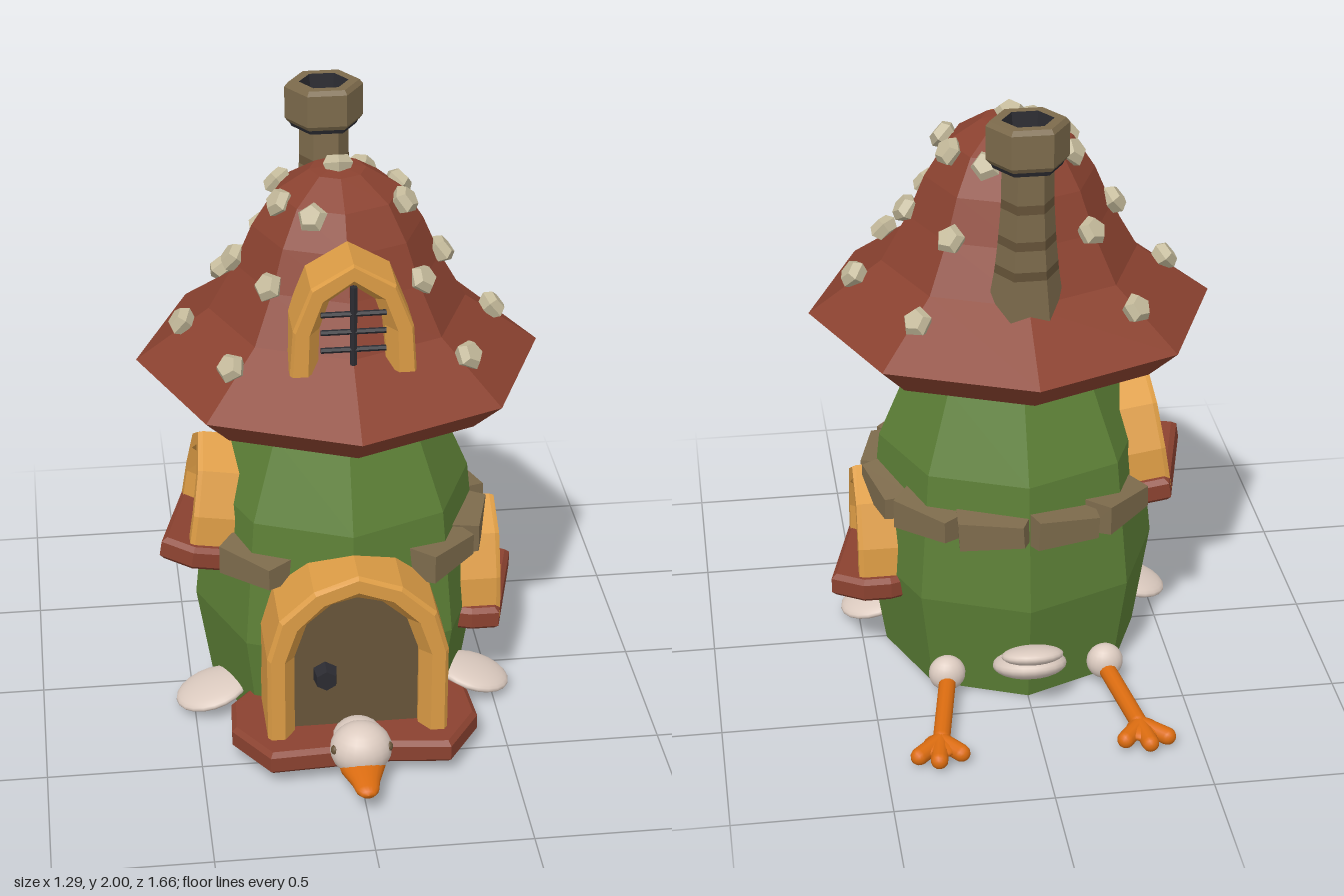
import * as THREE from 'three';

const mat = (name, color, flatShading = true, side = THREE.FrontSide) => {
  const m = new THREE.MeshStandardMaterial({ color, flatShading, side });
  m.name = name;
  return m;
};

// Grid of faces through rows of [x, y, z] points
function loft(rows) {
  const n = rows[0].length, index = [];
  for (let j = 0; j < rows.length - 1; j++) {
    for (let i = 0; i < n - 1; i++) {
      const a = j * n + i, b = a + 1, c = b + n, d = a + n;
      index.push(a, b, d, b, c, d);
    }
  }
  const g = new THREE.BufferGeometry();
  g.setAttribute('position', new THREE.Float32BufferAttribute(rows.flat(2), 3));
  g.setIndex(index);
  g.computeVertexNormals();
  return g;
}

const lathe = (pts, sides, start = 0) =>
  new THREE.LatheGeometry(pts.map(p => new THREE.Vector2(...p)), sides, start);

// Mirrors half an outline, listed from the +x base to the top, over to -x
const mirrored = half => [...half, ...half.slice(0, -1).reverse().map(([x, y]) => [-x, y])];
const shapeOf = pts => new THREE.Shape(pts.map(p => new THREE.Vector2(...p)));

export function createModel() {
  const model = new THREE.Group();
  const green = mat('green wall', 0x5c7f36);
  const red = mat('red roof', 0x8b4230);
  const wood = mat('yellow wood', 0xdc9c45, true, THREE.DoubleSide);
  const brown = mat('brown stone', 0x7d6b4c);
  const darkBrown = mat('dark brown', 0x675439);
  const iron = mat('dark iron', 0x2b2b31);
  const cream = mat('cream stone', 0xc3b99a);
  const grey = mat('grey underside', 0xb8b3a6);
  const white = mat('white feathers', 0xdccbc0, false);
  const orange = mat('orange skin', 0xdb6c10, false);

  const add = (name, geometry, material, parent = model, pos = [0, 0, 0]) => {
    const m = new THREE.Mesh(geometry, material);
    m.name = name;
    m.position.set(...pos);
    parent.add(m);
    return m;
  };
  const blob = (name, material, pos, size, rot = [0, 0, 0]) => {
    const m = add(name, new THREE.SphereGeometry(1, 20, 14), material, model, pos);
    m.scale.set(...size);
    m.rotation.set(...rot);
    return m;
  };
  const limb = (name, material, a, b, r) => {
    const p = new THREE.Vector3(...a), q = new THREE.Vector3(...b);
    const d = q.clone().sub(p);
    const m = add(name, new THREE.CapsuleGeometry(r, d.length(), 5, 12), material);
    m.position.copy(p).add(q).multiplyScalar(0.5);
    m.quaternion.setFromUnitVectors(new THREE.Vector3(0, 1, 0), d.normalize());
  };

  // Eight-sided wall, dark base and roof cap
  const oz = [0, 0, -0.01];
  add('wall', lathe([[0, 0.002], [0.42, 0.002], [0.475, 0.35], [0.43, 0.78], [0.32, 1.04], [0.28, 1.12]], 8), green, model, oz);
  add('base', new THREE.CircleGeometry(0.33, 12).rotateX(Math.PI / 2), iron, model, oz);
  add('roofUnderside', lathe([[0.26, 1.035], [0.32, 1.04], [0.54, 1.13]], 8), grey, model, oz);
  add('roof', lathe([[0.54, 1.13], [0.645, 1.23], [0.41, 1.4], [0.325, 1.55], [0.27, 1.68], [0.2, 1.79], [0.09, 1.86], [0, 1.87]], 8), red, model, oz);

  // Pebbles on the roof: x, y, z
  const up = new THREE.Vector3(0, 1, 0);
  const pebbles = [[0, 1.875, -0.01], [0.1, 1.78, -0.2], [-0.18, 1.78, -0.12], [-0.19, 1.78, 0.05],
    [0.2, 1.78, -0.07], [0.2, 1.78, 0.08], [-0.1, 1.78, 0.18], [-0.33, 1.57, -0.02], [0.33, 1.57, 0]];
  for (const s of [-1, 1]) {
    pebbles.push([s * 0.22, 1.57, -0.26], [s * 0.24, 1.57, 0.21], [s * 0.5, 1.36, -0.01],
      [s * 0.34, 1.36, -0.39], [s * 0.37, 1.36, 0.33]);
  }
  const pebbleShape = lathe([[0, -0.03], [0.035, -0.03], [0.05, 0], [0.034, 0.025], [0, 0.025]], 5);
  pebbles.forEach(([x, y, z], i) => {
    const m = add('pebble', pebbleShape, cream, model, [x, y, z]);
    const n = new THREE.Vector3(x, Math.max(0.02, Math.hypot(x, z) * 0.8), z).normalize();
    m.quaternion.setFromUnitVectors(up, n).multiply(new THREE.Quaternion().setFromAxisAngle(up, i * 1.3));
  });

  // Belt of rough stones, left open behind the door and the upper window
  for (let i = 0; i < 12; i++) {
    const deg = 15 + i * 30;
    if (deg === 15 || deg === 345 || deg === 255 || deg === 285) continue;
    const g = new THREE.BoxGeometry(0.23, 0.1, 0.09);
    const p = g.attributes.position;
    for (let k = 0; k < p.count; k++) {
      const x = p.getX(k), y = p.getY(k), z = p.getZ(k);
      p.setX(k, x * (z > 0 ? 0.9 : 1.05));
      p.setY(k, y * (x > 0 ? 0.85 : 1.15) * (z > 0 ? 0.85 : 1));
    }
    const a = THREE.MathUtils.degToRad(deg);
    const m = add('beltStone', g, brown, model, [Math.sin(a) * 0.435, 0.63, Math.cos(a) * 0.435 - 0.01]);
    m.rotation.set(0, a, (i % 3 - 1) * 0.06);
  }

  // Arched frame with a sloping inner reveal
  const arch = (name, outer, mid, inner, depth, parent) => {
    const row = (half, z) => mirrored(half).map(([x, y]) => [x, y, z]);
    return add(name, loft([row(outer, 0), row(outer, depth - 0.015), row(outer.map(([x, y]) => [x * 0.96, y * 0.985]), depth),
      row(mid, depth), row(inner, depth - 0.05), row(inner, 0)]), wood, parent);
  };
  const slab = (name, pts, y, parent) => {
    const g = new THREE.ExtrudeGeometry(shapeOf(pts), {
      depth: 0.05, bevelEnabled: true, bevelThickness: 0.015, bevelSize: 0.015, bevelOffset: -0.015, bevelSegments: 1,
    }).rotateX(Math.PI / 2);
    return add(name, g, red, parent, [0, y + 0.025, 0]);
  };

  // Windows with iron bars, some with a sill
  const makeWindow = (name, pos, barZ, depth, sill) => {
    const w = new THREE.Group();
    w.name = name;
    w.position.set(...pos);
    model.add(w);
    arch('windowFrame', [[0.195, 0], [0.185, 0.15], [0.13, 0.29], [0, 0.365]],
      [[0.14, 0], [0.135, 0.14], [0.095, 0.25], [0, 0.315]],
      [[0.105, 0], [0.1, 0.14], [0.07, 0.23], [0, 0.28]], depth, w);
    add('uprightBar', new THREE.CylinderGeometry(0.012, 0.012, 0.29, 6), iron, w, [0, 0.145, barZ]);
    for (const y of [0.08, 0.14, 0.2]) {
      add('crossBar', new THREE.CylinderGeometry(0.009, 0.009, 0.2, 6).rotateZ(Math.PI / 2), iron, w, [0, y, barZ]);
    }
    if (sill) slab('sill', mirrored([[0.2, 0], [0.22, 0.06], [0.22, 0.15], [0.16, 0.25]]), 0.01, w);
    return w;
  };
  makeWindow('roofWindow', [0, 1.36, 0.24], 0.165, 0.18, false);
  makeWindow('lowerWindow', [0.36, 0.3, 0], 0.13, 0.16, true).rotation.y = Math.PI / 2;
  makeWindow('upperWindow', [-0.35, 0.58, 0], 0.12, 0.16, true).rotation.set(0, -Math.PI / 2, -0.15, 'ZYX');

  // Door, frame, knob and porch
  const door = new THREE.Group();
  door.name = 'door';
  door.position.set(0, 0.1, 0.32);
  model.add(door);
  const inner = [[0.2, 0], [0.2, 0.31], [0.16, 0.43], [0.08, 0.5], [0, 0.52]];
  arch('doorFrame', [[0.29, 0], [0.29, 0.33], [0.25, 0.47], [0.14, 0.57], [0, 0.62]],
    [[0.235, 0], [0.235, 0.32], [0.195, 0.44], [0.11, 0.525], [0, 0.565]], inner, 0.245, door);
  add('doorPanel', new THREE.ShapeGeometry(shapeOf(mirrored(inner))), darkBrown, door, [0, 0, 0.175]);
  add('knob', new THREE.CylinderGeometry(0.035, 0.043, 0.05, 6).rotateX(Math.PI / 2), iron, door, [-0.1, 0.23, 0.2]);
  slab('porch', mirrored([[0.33, 0.26], [0.39, 0.33], [0.4, 0.48], [0.29, 0.645], [0.1, 0.625]]), 0.09, model);

  // Bent chimney with darker courses
  const ring = ([y, z, r]) => Array.from({ length: 7 }, (_, i) => {
    const a = Math.PI / 2 + i * Math.PI / 3;
    return [Math.sin(a) * r, y, z + Math.cos(a) * r * 0.95];
  });
  const courses = [[1.3, -0.34, 0.13], [1.5, -0.365, 0.1], [1.53, -0.37, 0.097], [1.6, -0.375, 0.09],
    [1.63, -0.378, 0.088], [1.72, -0.385, 0.082], [1.75, -0.387, 0.081], [1.85, -0.39, 0.08]];
  for (let i = 0; i < courses.length - 1; i++) {
    add('chimneyCourse', loft([ring(courses[i]), ring(courses[i + 1])]), i % 2 ? darkBrown : brown);
  }
  const potPos = [0, 0, -0.385];
  const pot = (name, pts, m) => { add(name, lathe(pts, 6, Math.PI / 2), m, model, potPos).scale.z = 0.9; };
  pot('chimneyCollar', [[0.07, 1.84], [0.105, 1.85], [0.115, 1.87]], iron);
  pot('chimneyPot', [[0.115, 1.865], [0.127, 1.88], [0.127, 1.985], [0.115, 2], [0.08, 2]], brown);
  pot('chimneyHole', [[0.08, 2], [0.07, 1.92], [0, 1.92]], iron);

  // Bird under the house: head, beak, tail
  blob('head', white, [0, 0.125, 0.63], [0.1, 0.088, 0.09]);
  blob('neck', white, [0, 0.11, 0.56], [0.085, 0.07, 0.09]);
  const beak = lathe([[0.078, -0.02], [0.072, 0.03], [0.045, 0.11], [0.036, 0.155], [0.022, 0.175], [0, 0.18]], 16);
  add('beak', beak.rotateX(Math.PI / 2).scale(1, 0.62, 1), orange, model, [0, 0.082, 0.65]);
  blob('tail', white, [0, 0.145, -0.46], [0.12, 0.045, 0.12], [0.35, 0, 0]);
  blob('tailTip', white, [0, 0.215, -0.52], [0.1, 0.03, 0.075], [0.35, 0, 0]);

  // Eyes, wings, legs and feet on both sides
  for (const s of [-1, 1]) {
    blob('eye', darkBrown, [s * 0.086, 0.142, 0.655], [0.014, 0.016, 0.016]);
    blob('wing', white, [s * 0.44, 0.064, 0.15], [0.125, 0.032, 0.115], [0, 0, s * -0.28]);
    blob('thigh', white, [s * 0.26, 0.085, -0.385], [0.06, 0.06, 0.05]);
    limb('leg', orange, [s * 0.26, 0.07, -0.4], [s * 0.315, 0.045, -0.69], 0.028);
    blob('footWeb', orange, [s * 0.325, 0.04, -0.73], [0.055, 0.022, 0.06]);
    for (const [x, z] of [[0.395, -0.77], [0.335, -0.8], [0.262, -0.77]]) {
      limb('toe', orange, [s * 0.32, 0.04, -0.7], [s * x, 0.035, z], 0.028);
    }
  }
  return model;
}
